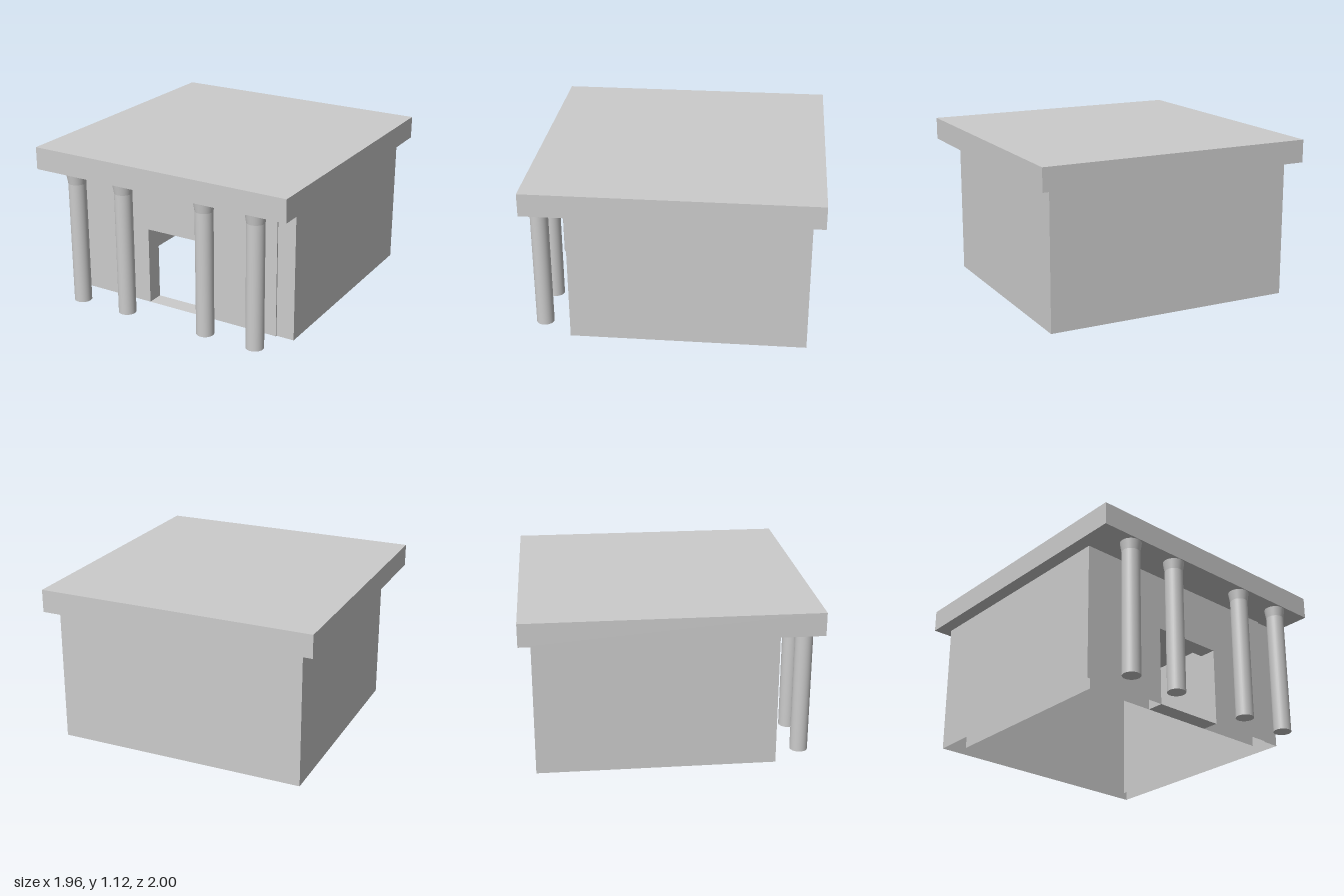
import * as THREE from 'three';

const solid = new THREE.MeshStandardMaterial({ color: 0xcccccc });
const sheet = new THREE.MeshStandardMaterial({ color: 0xcccccc, side: THREE.DoubleSide });

const EAVES = 0.96, ROOF_TOP = 1.12;
const FRONT = 0.72, FRONT_INNER = 0.6;
const DOOR = { left: -0.25, right: 0.27, top: 0.56 };

// Upright flat-shaded ribbon that follows [x, z] points from y0 to y1
function ribbon(points, y0, y1) {
  const pos = [];
  for (let i = 0; i < points.length - 1; i++) {
    const [ax, az] = points[i], [bx, bz] = points[i + 1];
    pos.push(ax, y0, az, bx, y0, bz, bx, y1, bz);
    pos.push(ax, y0, az, bx, y1, bz, ax, y1, az);
  }
  const geo = new THREE.BufferGeometry();
  geo.setAttribute('position', new THREE.Float32BufferAttribute(pos, 3));
  geo.computeVertexNormals();
  return geo;
}

// Front wall face with the doorway cut out of its lower edge
function doorPanel(x0, x1, z) {
  const outline = [
    [x0, 0], [DOOR.left, 0], [DOOR.left, DOOR.top], [DOOR.right, DOOR.top],
    [DOOR.right, 0], [x1, 0], [x1, EAVES], [x0, EAVES],
  ].map(([x, y]) => new THREE.Vector2(x, y));
  return new THREE.ShapeGeometry(new THREE.Shape(outline)).translate(0, 0, z);
}

export function createModel() {
  const model = new THREE.Group();
  model.name = 'porticoBuilding';
  const add = (name, geo, mat, parent = model) => {
    const mesh = new THREE.Mesh(geo, mat);
    mesh.name = name;
    parent.add(mesh);
    return mesh;
  };

  // Flat slab roof overhanging on all sides
  add('roof', new THREE.BoxGeometry(1.96, ROOF_TOP - EAVES, 2), solid)
    .position.y = (EAVES + ROOF_TOP) / 2;

  // Hollow walls: outer and inner skins, open underneath
  const walls = new THREE.Group();
  walls.name = 'walls';
  model.add(walls);
  add('outerWalls', ribbon([
    [0.77, FRONT], [0.77, 0.71], [0.9, 0.71], [0.9, -0.92], [-0.885, -0.92], [-0.885, FRONT],
  ], 0, EAVES), sheet, walls);
  add('innerWalls', ribbon([
    [-0.765, FRONT_INNER], [-0.765, -0.8], [0.77, -0.8], [0.77, FRONT],
  ], 0, EAVES), sheet, walls);
  add('frontWall', doorPanel(-0.885, 0.77, FRONT), sheet, walls);
  add('frontWallInner', doorPanel(-0.765, 0.77, FRONT_INNER), sheet, walls);

  // Doorway lining: jambs, lintel and sill
  const { left, right, top } = DOOR;
  add('doorway', ribbon([
    [left, 0], [left, -top], [right, -top], [right, 0], [left, 0],
  ], FRONT_INNER, FRONT).rotateX(Math.PI / 2), sheet, walls);

  // Four round columns with flared capitals
  for (const x of [-0.695, -0.305, 0.338, 0.723]) {
    const column = new THREE.Group();
    column.name = 'column';
    column.position.set(x, 0, 0.922);
    model.add(column);
    add('shaft', new THREE.CylinderGeometry(0.062, 0.062, 0.89, 32), solid, column)
      .position.y = 0.445;
    add('capital', new THREE.CylinderGeometry(0.073, 0.062, EAVES - 0.89, 32), solid, column)
      .position.y = (EAVES + 0.89) / 2;
  }
  return model;
}
